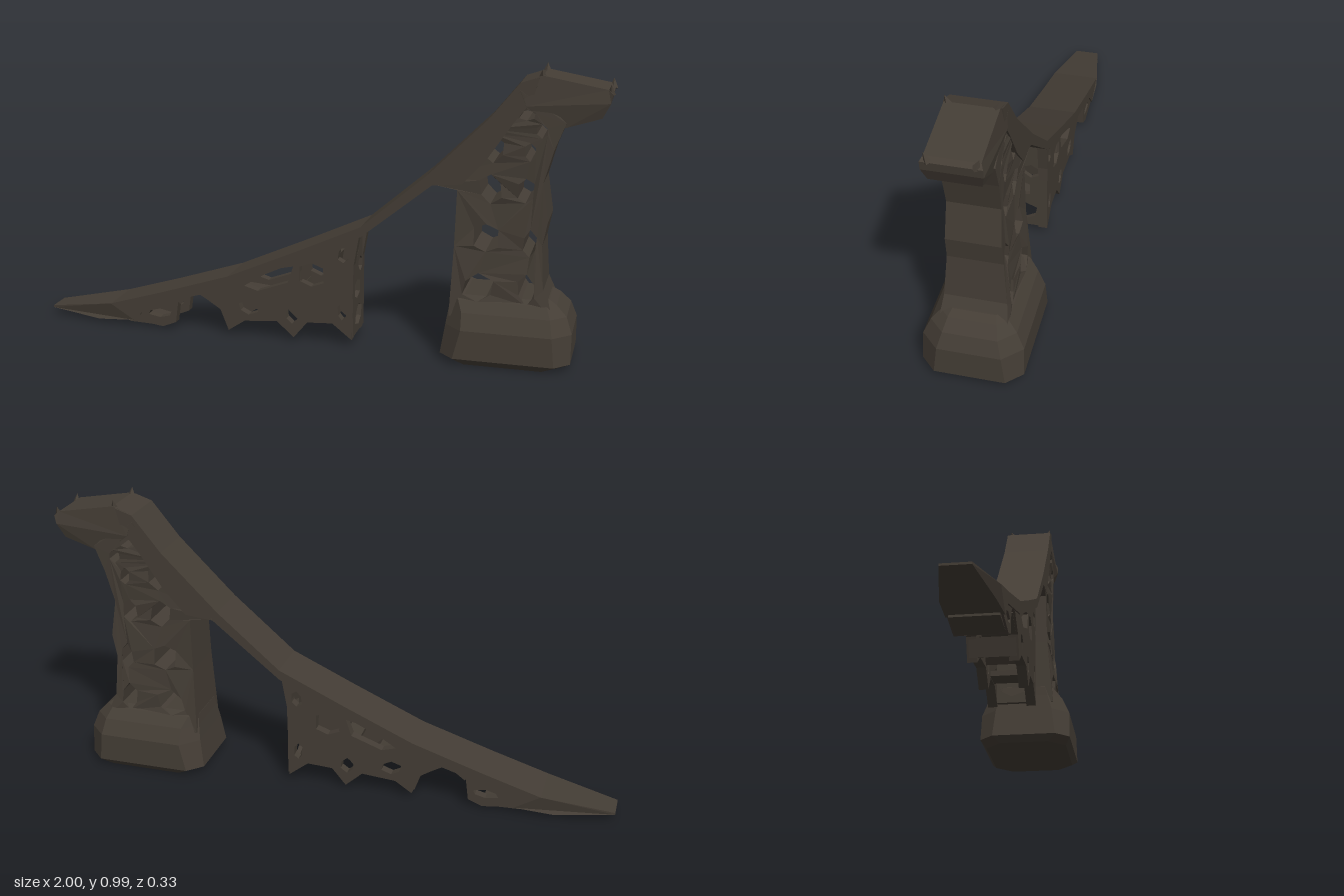
import * as THREE from 'three';

const bark = new THREE.MeshStandardMaterial({ color: 0x443d35, flatShading: true });
bark.name = 'dark weathered brown';

const V = (p) => new THREE.Vector2(p[0], p[1]);

// irregular opening: centre, width, height, and a number that varies its outline
function opening(x, y, w, h, seed = 0) {
  const pts = [];
  for (let i = 0; i < 6; i++) {
    const a = (i + 0.5) / 6 * Math.PI * 2;
    const r = 1.08 + 0.14 * Math.sin(seed * 2.3 + i * 4.1);
    pts.push([x + Math.cos(a) * r * w / 2, y + Math.sin(a) * r * h / 2]);
  }
  return pts;
}

// side profile (x, y) pushed through z, half-width given by a rule of (x, y)
function slab(name, outline, holes, halfWidth) {
  const shape = new THREE.Shape(outline.map(V));
  holes.forEach((h) => shape.holes.push(new THREE.Path(h.map(V))));
  const geo = new THREE.ExtrudeGeometry(shape, { depth: 2, bevelEnabled: false });
  geo.translate(0, 0, -1);
  const p = geo.attributes.position;
  for (let i = 0; i < p.count; i++) {
    p.setZ(i, p.getZ(i) * halfWidth(p.getX(i), p.getY(i)));
  }
  geo.computeVertexNormals();
  const mesh = new THREE.Mesh(geo, bark);
  mesh.name = name;
  return mesh;
}

// stacked eight-sided rings: [y, xMin, xMax, halfZ, chamfer]
function stack(name, rings) {
  const pos = [], idx = [];
  rings.forEach(([y, a, b, z, c]) => {
    [[b, z - c], [b, c - z], [b - c, -z], [a + c, -z], [a, c - z], [a, z - c], [a + c, z], [b - c, z]]
      .forEach(([px, pz]) => pos.push(px, y, pz));
  });
  for (let r = 0; r < rings.length - 1; r++) {
    for (let i = 0; i < 8; i++) {
      const a = r * 8 + i, b = r * 8 + (i + 1) % 8;
      idx.push(a, b, b + 8, a, b + 8, a + 8);
    }
  }
  const top = (rings.length - 1) * 8;
  for (let i = 1; i < 7; i++) idx.push(0, i + 1, i, top, top + i, top + i + 1);
  const geo = new THREE.BufferGeometry();
  geo.setAttribute('position', new THREE.Float32BufferAttribute(pos, 3));
  geo.setIndex(idx);
  geo.computeVertexNormals();
  const mesh = new THREE.Mesh(geo, bark);
  mesh.name = name;
  return mesh;
}

// thin web spanning the width between two profile points
function web(x1, y1, x2, y2, z = 0, depth = 0.15) {
  const geo = new THREE.BoxGeometry(Math.hypot(x2 - x1, y2 - y1), 0.018, depth);
  const mesh = new THREE.Mesh(geo, bark);
  mesh.position.set((x1 + x2) / 2, (y1 + y2) / 2, z);
  mesh.rotation.z = Math.atan2(y2 - y1, x2 - x1);
  mesh.name = 'crossWeb';
  return mesh;
}

export function createModel() {
  const model = new THREE.Group();
  model.name = 'rampTower';

  // long sloping deck with a narrowed tip
  model.add(slab('deck', [
    [-1, 0.035], [-0.8, 0.02], [-0.66, 0.03], [-0.6, 0.09], [-0.3, 0.18], [0, 0.32], [0.18, 0.405],
    [0.42, 0.6], [0.52, 0.61], [0.6, 0.7], [0.68, 0.82], [0.74, 0.9], [0.76, 0.975], [0.7, 0.955],
    [0.6, 0.83], [0.4, 0.63], [0.18, 0.44], [-0.05, 0.335], [-0.3, 0.225], [-0.55, 0.145],
    [-0.75, 0.085], [-1, 0.042],
  ], [], (x) => 0.045 + 0.042 * THREE.MathUtils.clamp((x + 1) / 0.24, 0, 1)));

  // tower shaft pierced by rows of openings
  model.add(slab('towerShaft', [
    [0.49, 0.16], [0.85, 0.16], [0.8, 0.27], [0.79, 0.42], [0.805, 0.5], [0.785, 0.63], [0.815, 0.74],
    [0.85, 0.83], [0.74, 0.93], [0.7, 0.93], [0.6, 0.8], [0.44, 0.63], [0.42, 0.605], [0.505, 0.59], [0.5, 0.4],
  ], [
    opening(0.585, 0.265, 0.1, 0.09, 1), opening(0.745, 0.27, 0.06, 0.09, 2),
    opening(0.605, 0.435, 0.08, 0.1, 3), opening(0.75, 0.425, 0.045, 0.08, 4),
    opening(0.615, 0.6, 0.075, 0.09, 5), opening(0.73, 0.6, 0.05, 0.085, 6),
    opening(0.62, 0.735, 0.075, 0.08, 7), opening(0.74, 0.73, 0.035, 0.06, 8),
    opening(0.725, 0.85, 0.05, 0.035, 9), opening(0.775, 0.8, 0.04, 0.04, 10),
  ], (x, y) => (y > 0.5 ? 0.084 : 0.084 + (0.5 - y) * 0.08) + 0.004 * Math.sin(x * 60 + y * 45)));

  // flared foot of the tower
  model.add(stack('towerFoot', [
    [0.008, 0.49, 0.87, 0.148, 0.06], [0.03, 0.465, 0.9, 0.165, 0.05], [0.13, 0.48, 0.9, 0.163, 0.06],
    [0.185, 0.488, 0.88, 0.138, 0.05], [0.22, 0.492, 0.845, 0.108, 0.03], [0.235, 0.5, 0.82, 0.09, 0.02],
  ]));

  // blunt head overhanging the tower
  model.add(slab('head', [
    [0.72, 0.88], [0.8, 0.815], [0.85, 0.815], [0.96, 0.85], [0.985, 0.9], [0.99, 0.93],
    [0.975, 0.943], [0.77, 0.98], [0.7, 0.955],
  ], [], (x, y) => (y < 0.86 ? 0.078 : y < 0.94 ? 0.09 : 0.082)));

  // pointed ears and a small spike on each front corner
  for (const s of [-1, 1]) {
    for (const [name, x, y, r, h] of [['ear', 0.768, 0.982, 0.018, 0.04], ['snoutSpike', 0.983, 0.943, 0.014, 0.035]]) {
      const spike = new THREE.Mesh(new THREE.ConeGeometry(r, h, 4), bark);
      spike.position.set(x, y, s * 0.073);
      spike.rotation.x = s * 0.35;
      spike.name = name;
      model.add(spike);
    }
  }

  // ragged pierced side panels below the deck
  const panelOutline = [
    [-0.7, 0.04], [-0.65, 0.028], [-0.55, 0.015], [-0.5, 0.035], [-0.49, 0.11], [-0.44, 0.15], [-0.4, 0.145],
    [-0.33, 0.1], [-0.3, 0.025], [-0.24, 0.065], [-0.12, 0.075], [-0.06, 0.02], [-0.01, 0.08], [0.08, 0.085],
    [0.15, 0.03], [0.155, 0.3], [0.175, 0.415], [0, 0.335], [-0.3, 0.2], [-0.6, 0.105],
  ];
  const panelHoles = [
    [[-0.24, 0.195], [-0.19, 0.18], [-0.08, 0.22], [-0.06, 0.28], [-0.13, 0.265]],
    opening(0.005, 0.255, 0.085, 0.09, 3), opening(0.12, 0.335, 0.04, 0.055, 1),
    opening(-0.225, 0.115, 0.07, 0.045, 5), opening(-0.065, 0.1, 0.05, 0.05, 2),
    opening(0.115, 0.13, 0.03, 0.06, 8), opening(-0.56, 0.065, 0.09, 0.028, 4),
  ];
  for (const s of [-1, 1]) {
    const panel = slab('sidePanel', panelOutline, panelHoles, () => 0.016);
    panel.position.z = s * 0.066;
    model.add(panel);
  }

  // webs tying the two panels together
  [
    [-0.68, 0.03, -0.55, 0.025], [-0.49, 0.11, -0.43, 0.155], [-0.4, 0.15, -0.33, 0.11],
    [-0.32, 0.1, -0.3, 0.04], [-0.28, 0.16, -0.17, 0.15], [-0.17, 0.15, -0.11, 0.09],
    [-0.1, 0.19, -0.03, 0.2], [-0.02, 0.09, 0.07, 0.095], [0.06, 0.2, 0.08, 0.32], [-0.04, 0.21, -0.05, 0.29],
  ].forEach((w) => model.add(web(...w)));

  // open lattice closing the high end of the panels
  const lattice = slab('endLattice', [[-0.08, 0.04], [0.08, 0.04], [0.08, 0.4], [-0.08, 0.4]], [
    opening(0, 0.1, 0.09, 0.07, 1), opening(-0.02, 0.2, 0.08, 0.07, 3),
    opening(0.025, 0.28, 0.06, 0.05, 5), opening(-0.03, 0.34, 0.05, 0.04, 7),
  ], () => 0.008);
  lattice.rotation.y = Math.PI / 2;
  lattice.position.x = 0.146;
  model.add(lattice);

  return model;
}
